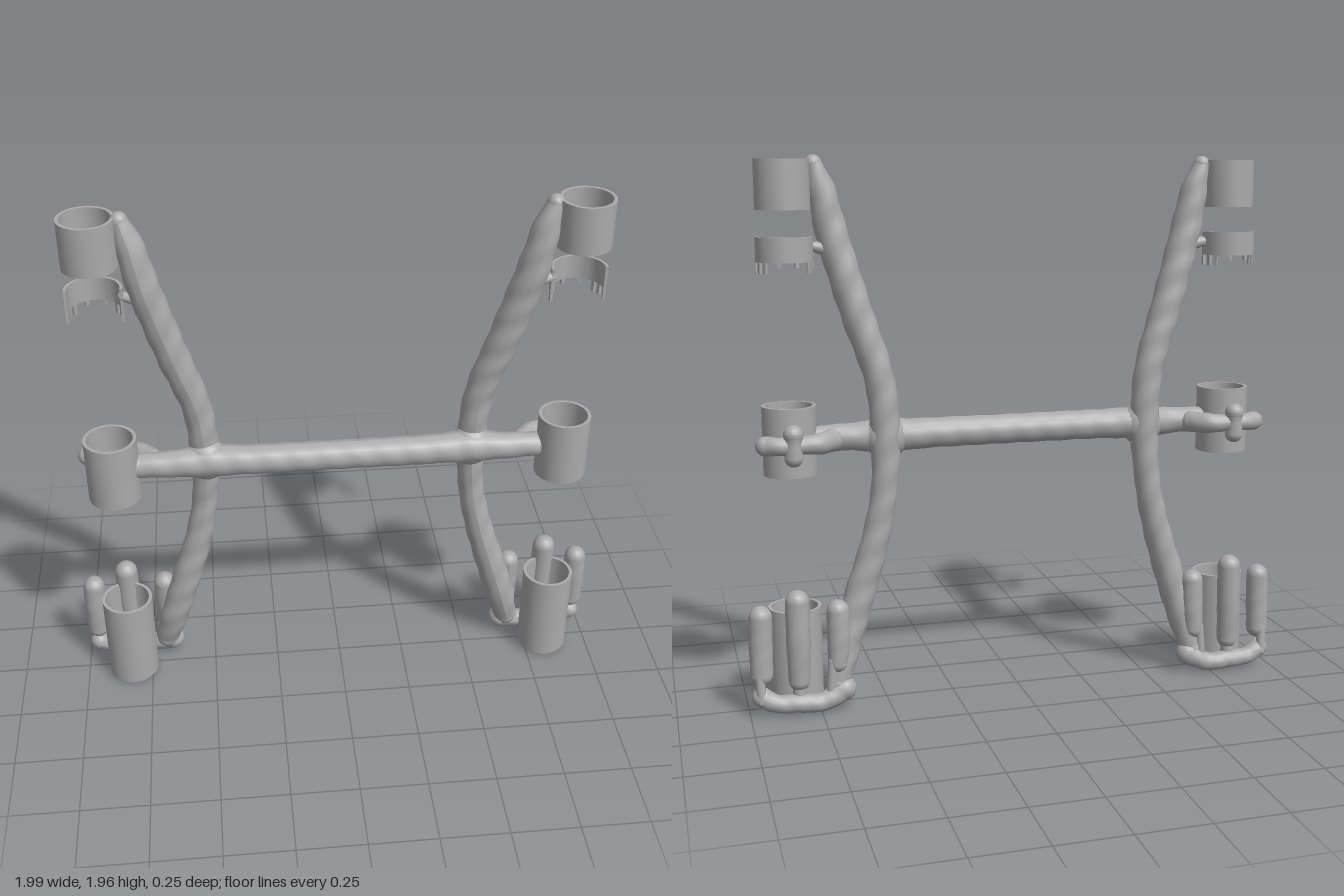
import * as THREE from 'three';
import { toCreasedNormals } from 'three/addons/utils/BufferGeometryUtils.js';

export function createModel() {
  const model = new THREE.Group();
  model.name = 'clampFrame';
  const grey = new THREE.MeshStandardMaterial({ color: 0xaaaaaa });
  grey.name = 'grey';

  function add(parent, name, geometry, x = 0, y = 0, z = 0) {
    const mesh = new THREE.Mesh(geometry, grey);
    mesh.name = name;
    mesh.position.set(x, y, z);
    parent.add(mesh);
    return mesh;
  }

  // Round-ended limb through points [x, y, z, radius], with a slight ripple
  function limb(parent, name, points, ripple = 0, segments = 40) {
    const group = new THREE.Group();
    group.name = name;
    parent.add(group);
    const curve = new THREE.CatmullRomCurve3(points.map(p => new THREE.Vector3(p[0], p[1], p[2])));
    const sides = 16;
    const geometry = new THREE.TubeGeometry(curve, segments, 1, sides);
    const pos = geometry.attributes.position;
    const v = new THREE.Vector3();
    for (let i = 0; i < pos.count; i++) {
      const row = Math.floor(i / (sides + 1));
      const u = row / segments;
      const t = curve.getUtoTmapping(u) * (points.length - 1);
      const k = Math.min(Math.floor(t), points.length - 2);
      const angle = (i % (sides + 1)) / sides * Math.PI * 2;
      const wave = 1 + ripple * Math.sin(row * 1.1 + 2 * angle);
      const radius = THREE.MathUtils.lerp(points[k][3], points[k + 1][3], t - k) * wave;
      const centre = curve.getPointAt(u);
      v.fromBufferAttribute(pos, i).sub(centre).multiplyScalar(radius).add(centre);
      pos.setXYZ(i, v.x, v.y, v.z);
    }
    geometry.computeVertexNormals();
    add(group, name + 'Tube', geometry);
    for (const p of [points[0], points[points.length - 1]]) {
      add(group, name + 'End', new THREE.SphereGeometry(p[3], 16, 10), p[0], p[1], p[2]);
    }
    return group;
  }

  // Thin wall following an arc, extruded upward
  function wall(outer, inner, start, end, height) {
    const shape = new THREE.Shape();
    if (end - start > 6.28) {
      shape.absarc(0, 0, outer, 0, Math.PI * 2);
      const hole = new THREE.Path();
      hole.absarc(0, 0, inner, 0, Math.PI * 2, true);
      shape.holes.push(hole);
    } else {
      shape.absarc(0, 0, outer, start, end);
      shape.absarc(0, 0, inner, end, start, true);
    }
    const geometry = new THREE.ExtrudeGeometry(shape, { depth: height, bevelEnabled: false, curveSegments: 14 });
    geometry.rotateX(-Math.PI / 2);
    return toCreasedNormals(geometry, 0.7);
  }

  const ringX = 0.822, ringZ = 0.033;

  for (const s of [-1, 1]) {
    const side = new THREE.Group();
    side.name = s > 0 ? 'leftSide' : 'rightSide';
    model.add(side);
    const rod = (name, points, ripple, segments) =>
      limb(side, name, points.map(p => [p[0] * s, p[1], p[2], p[3]]), ripple, segments);

    // Bowed upright
    rod('upright', [
      [0.715, 1.925, 0.03, 0.03], [0.69, 1.84, 0.033, 0.048], [0.66, 1.7, 0.032, 0.056],
      [0.625, 1.57, 0.022, 0.057], [0.575, 1.4, 0.01, 0.057], [0.507, 1.18, -0.006, 0.053],
      [0.49, 0.98, -0.012, 0.053], [0.5, 0.78, -0.02, 0.047], [0.535, 0.6, -0.018, 0.05],
      [0.595, 0.4, -0.015, 0.055], [0.65, 0.22, -0.025, 0.055], [0.685, 0.09, -0.05, 0.045],
    ], 0.035, 90);

    // Blended joint where the upright meets the crossbar
    const joint = add(side, 'joint', new THREE.SphereGeometry(0.085, 20, 14), 0.485 * s, 0.97, 0.008);
    joint.scale.set(0.95, 0.95, 0.75);

    // Open clamp sleeves
    for (const [name, bottom, height] of [
      ['upperSleeve', 1.77, 0.17], ['middleSleeve', 0.85, 0.245], ['lowerSleeve', 0.015, 0.35],
    ]) {
      add(side, name, wall(0.095, 0.083, 0, Math.PI * 2, height), ringX * s, bottom, ringZ);
    }
    add(side, 'lowerLip', wall(0.083, 0.075, 0, Math.PI * 2, 0.06), ringX * s, 0, ringZ);

    // Broken half collar with hanging teeth
    add(side, 'halfCollar', wall(0.098, 0.088, -0.1, Math.PI + 0.1, 0.085), ringX * s, 1.595, 0.02);
    for (const a of [-0.1, 0.3, 0.62, 1.2, 1.85, 2.4, 2.72, 3.1]) {
      const drop = a > 0.7 && a < 2.3 ? 0.018 : 0.038;
      add(side, 'collarTooth', wall(0.098, 0.088, a, a + 0.14, drop + 0.005), ringX * s, 1.595 - drop, 0.02);
    }
    rod('collarLink', [[0.67, 1.635, 0.02, 0.03], [0.728, 1.645, 0.015, 0.016]], 0, 6);

    // Cross-shaped grip behind the middle sleeve
    rod('gripArm', [[0.915, 0.97, -0.055, 0.035], [0.87, 0.97, -0.075, 0.032],
      [0.8, 0.97, -0.075, 0.03], [0.73, 0.97, -0.06, 0.038], [0.68, 0.97, -0.01, 0.04]], 0.02, 24);
    rod('gripPost', [[0.822, 0.93, -0.085, 0.033], [0.822, 0.98, -0.088, 0.028],
      [0.822, 1.01, -0.085, 0.035]], 0, 12);

    // Rods and curved foot around the lower sleeve
    rod('outerRod', [[0.955, 0.15, -0.06, 0.04], [0.955, 0.26, -0.055, 0.042], [0.953, 0.36, -0.055, 0.041]], 0.01, 16);
    rod('centreRod', [[0.825, 0.12, -0.07, 0.038], [0.825, 0.26, -0.075, 0.043], [0.825, 0.41, -0.072, 0.043]], 0.01, 16);
    rod('innerRod', [[0.685, 0.17, -0.065, 0.036], [0.68, 0.26, -0.06, 0.042], [0.68, 0.36, -0.055, 0.041]], 0.01, 16);
    rod('foot', [[0.958, 0.07, -0.07, 0.036], [0.91, 0.045, -0.08, 0.032], [0.825, 0.04, -0.085, 0.034],
      [0.74, 0.036, -0.08, 0.034], [0.665, 0.07, -0.06, 0.045]], 0.02, 30);
    rod('outerNeck', [[0.96, 0.06, -0.09, 0.017], [0.965, 0.16, -0.08, 0.017]], 0, 6);
    rod('centreNeck', [[0.825, 0.04, -0.075, 0.024], [0.825, 0.14, -0.07, 0.024]], 0, 6);
    rod('innerNeck', [[0.715, 0.05, -0.08, 0.017], [0.705, 0.18, -0.075, 0.017]], 0, 6);
  }

  // Crossbar, flared towards the joints
  limb(model, 'crossbar', [
    [-0.73, 0.972, 0.03, 0.045], [-0.6, 0.972, 0.03, 0.05], [-0.48, 0.972, 0.02, 0.062],
    [-0.34, 0.972, 0.028, 0.055], [0, 0.972, 0.03, 0.054], [0.34, 0.972, 0.028, 0.055],
    [0.48, 0.972, 0.02, 0.062], [0.6, 0.972, 0.03, 0.05], [0.73, 0.972, 0.03, 0.045],
  ], 0.02, 80);

  return model;
}
